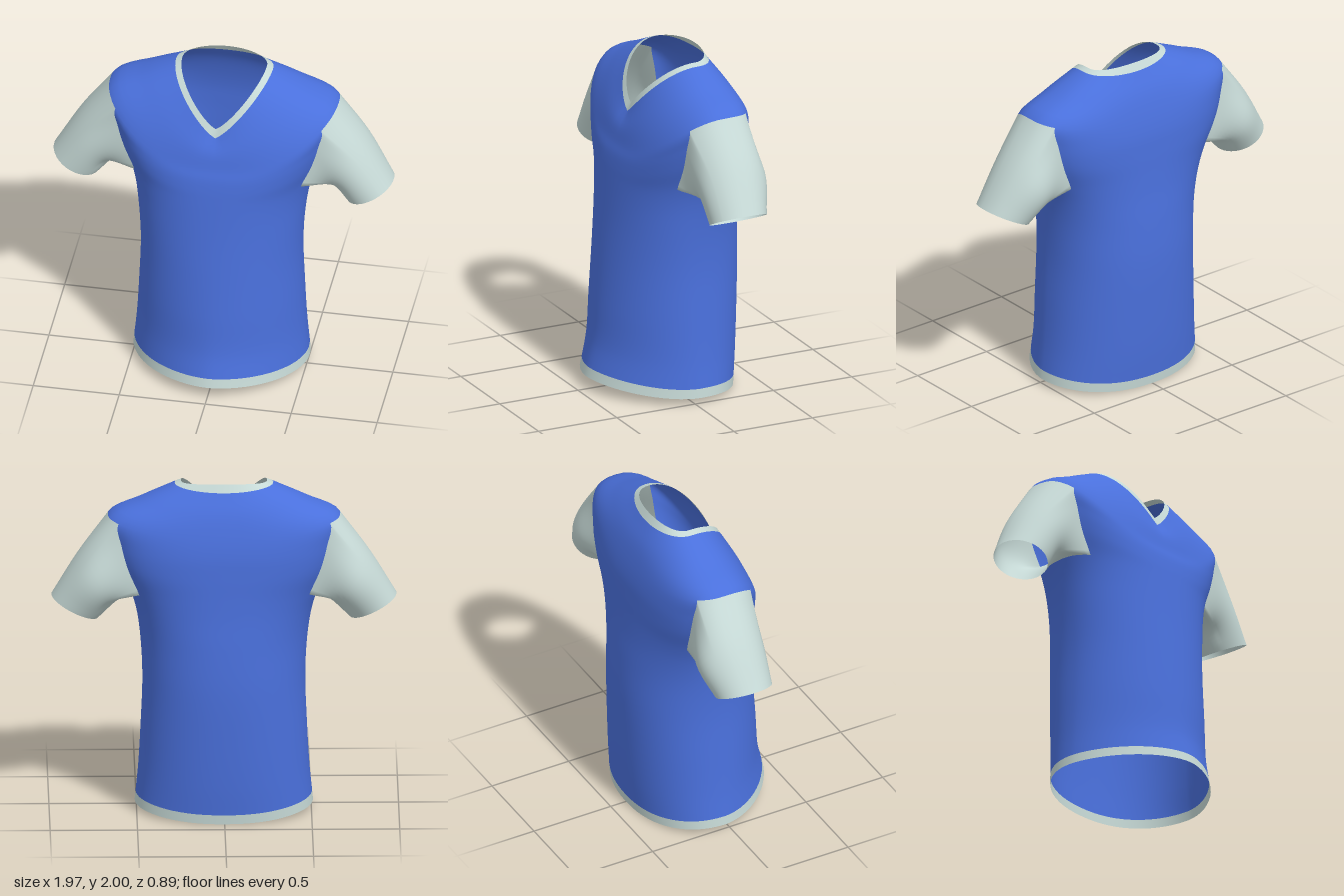
import * as THREE from 'three';

const COLS = 64;   // columns round the body, column 0 on the left side (+x), 16 at the front
const STEPS = 5;   // rows between two key rings
const ARM = 5;     // half width of the armhole in columns
const ARM_LOW = 7, ARM_TOP = 10; // key rings at the armpit and the shoulder point

// Key rings: half width, y at side / front / back, z at front / back / side, roundness front / back
const RINGS = [
  [0.510, 0.040, 0.080, 0.005, 0.445, -0.400, -0.03, 1.75, 2.2],
  [0.505, 0.095, 0.135, 0.060, 0.432, -0.405, -0.03, 1.75, 2.2],
  [0.490, 0.250, 0.280, 0.220, 0.398, -0.420, -0.03, 1.80, 2.2],
  [0.476, 0.500, 0.520, 0.480, 0.376, -0.435, -0.03, 1.90, 2.2],
  [0.466, 0.800, 0.800, 0.800, 0.348, -0.445, -0.03, 2.00, 2.2],
  [0.480, 1.050, 1.030, 1.050, 0.323, -0.435, -0.04, 2.10, 2.2],
  [0.505, 1.220, 1.180, 1.220, 0.308, -0.422, -0.07, 2.20, 2.3],
  [0.540, 1.340, 1.280, 1.350, 0.298, -0.416, -0.10, 2.30, 2.4],
  [0.605, 1.500, 1.350, 1.480, 0.290, -0.412, -0.12, 2.35, 2.6],
  [0.645, 1.650, 1.420, 1.600, 0.278, -0.405, -0.12, 2.40, 2.7],
  [0.665, 1.785, 1.480, 1.720, 0.260, -0.382, -0.12, 2.40, 2.7],
];

const angleOf = (col) => (col / COLS) * Math.PI * 2;

function ringPoint([w, ySide, yFront, yBack, zFront, zBack, zSide, nFront, nBack], a) {
  const c = Math.cos(a), s = Math.sin(a), front = s >= 0;
  const p = 2 / (front ? nFront : nBack);
  return new THREE.Vector3(
    w * Math.sign(c) * Math.abs(c) ** p,
    ySide + ((front ? yFront : yBack) - ySide) * s * s,
    zSide + ((front ? zFront : zBack) - zSide) * Math.abs(s) ** p
  );
}

// V at the front, shallow curve at the back
function neckPoint(a, w, ySide, yV, yBack, front, back) {
  const c = Math.cos(a), s = Math.sin(a);
  const y = s >= 0 ? yV + (ySide - yV) * Math.abs(c) ** 1.2 : ySide + (yBack - ySide) * s * s;
  return new THREE.Vector3(w * c, y, -0.12 + (s >= 0 ? front * s : -back * Math.abs(s) ** 0.85));
}
const neckOuter = (a) => neckPoint(a, 0.282, 1.972, 1.66, 1.955, 0.305, 0.157);
const neckInner = (a) => neckPoint(a, 0.246, 1.985, 1.71, 2.0, 0.285, 0.132);

// Surface from closed rows of points; skip(row, col) leaves a hole
function loft(rows, skip = () => false) {
  const n = rows[0].length, index = [];
  for (let j = 0; j < rows.length - 1; j++) {
    for (let i = 0; i < n; i++) {
      if (skip(j, i)) continue;
      const k = (i + 1) % n, a = j * n + i, b = a + n, c = j * n + k, d = c + n;
      index.push(a, b, c, c, b, d);
    }
  }
  const geometry = new THREE.BufferGeometry().setFromPoints(rows.flat());
  geometry.setIndex(index);
  geometry.computeVertexNormals();
  return geometry;
}

// Rows sampled along a smooth curve through each column's key points
function smoothRows(columns, count) {
  const curves = columns.map((pts) => new THREE.CatmullRomCurve3(pts));
  return Array.from({ length: count + 1 }, (_, j) => curves.map((c) => c.getPoint(j / count)));
}

export function createModel() {
  const group = new THREE.Group();
  const blue = new THREE.MeshStandardMaterial({ color: 0x4a70dc, side: THREE.DoubleSide });
  blue.name = 'blueCloth';
  const grey = new THREE.MeshStandardMaterial({ color: 0xc6d9d6, side: THREE.DoubleSide });
  grey.name = 'paleGreyCloth';
  const add = (name, geometry, material) => {
    const mesh = new THREE.Mesh(geometry, material);
    mesh.name = name;
    group.add(mesh);
  };

  // Columns run from the hem up over the shoulders to the neckline
  const columns = Array.from({ length: COLS }, (_, i) => {
    const a = angleOf(i);
    const pts = RINGS.map((r) => ringPoint(r, a));
    const top = neckOuter(a), shoulder = pts[pts.length - 1];
    const mid = shoulder.clone().lerp(top, 0.5);
    mid.y += 0.006;
    mid.z += 0.012 * Math.sin(a);
    return [...pts, mid, top];
  });
  const rows = smoothRows(columns, (RINGS.length + 1) * STEPS);
  const low = ARM_LOW * STEPS, high = ARM_TOP * STEPS;

  // Hem band and body, with an armhole on each side
  add('hemBand', loft(rows.slice(0, STEPS + 1)), grey);
  add('body', loft(rows.slice(STEPS), (j, i) => {
    const row = j + STEPS, fromSide = (i + ARM) % (COLS / 2);
    return row >= low && row < high && fromSide < 2 * ARM;
  }), blue);

  // Collar band
  const neckRow = (f) => Array.from({ length: COLS }, (_, i) => f(angleOf(i)));
  add('collarBand', loft([neckRow(neckOuter), neckRow(neckInner)]), grey);

  // Left armhole edge: along the armpit, up the front, over the shoulder, down the back
  const at = (row, col) => rows[row][(col + COLS) % COLS];
  const edge = [];
  for (let i = -ARM; i < ARM; i++) edge.push(at(low, i));
  for (let j = low; j < high; j++) edge.push(at(j, ARM));
  for (let i = ARM; i > -ARM; i--) edge.push(at(high, i));
  for (let j = high; j > low; j--) edge.push(at(j, -ARM));

  // Sleeves: from the armhole edge through a middle ring to the cuff
  const oval = (phi, x, y, z, dx, dy, dz) => new THREE.Vector3(
    x + dx * Math.cos(phi), y + dy * Math.cos(phi), z + dz * Math.sin(phi));
  for (const [name, side] of [['leftSleeve', 1], ['rightSleeve', -1]]) {
    const sleeve = edge.map((p) => {
      const phi = Math.atan2((p.z + 0.1) / 0.19, (p.y - 1.555) / 0.22);
      return [
        p.clone(),
        oval(phi, 0.735, 1.405, -0.12, 0.1, 0.15, 0.205),
        oval(phi, 0.853, 1.232, -0.1, 0.135, 0.066, 0.17),
      ].map((q) => q.setX(q.x * side));
    });
    if (side > 0) sleeve.reverse();
    sleeve.reverse();
    add(name, loft(smoothRows(sleeve, 12)), grey);
  }
  return group;
}
